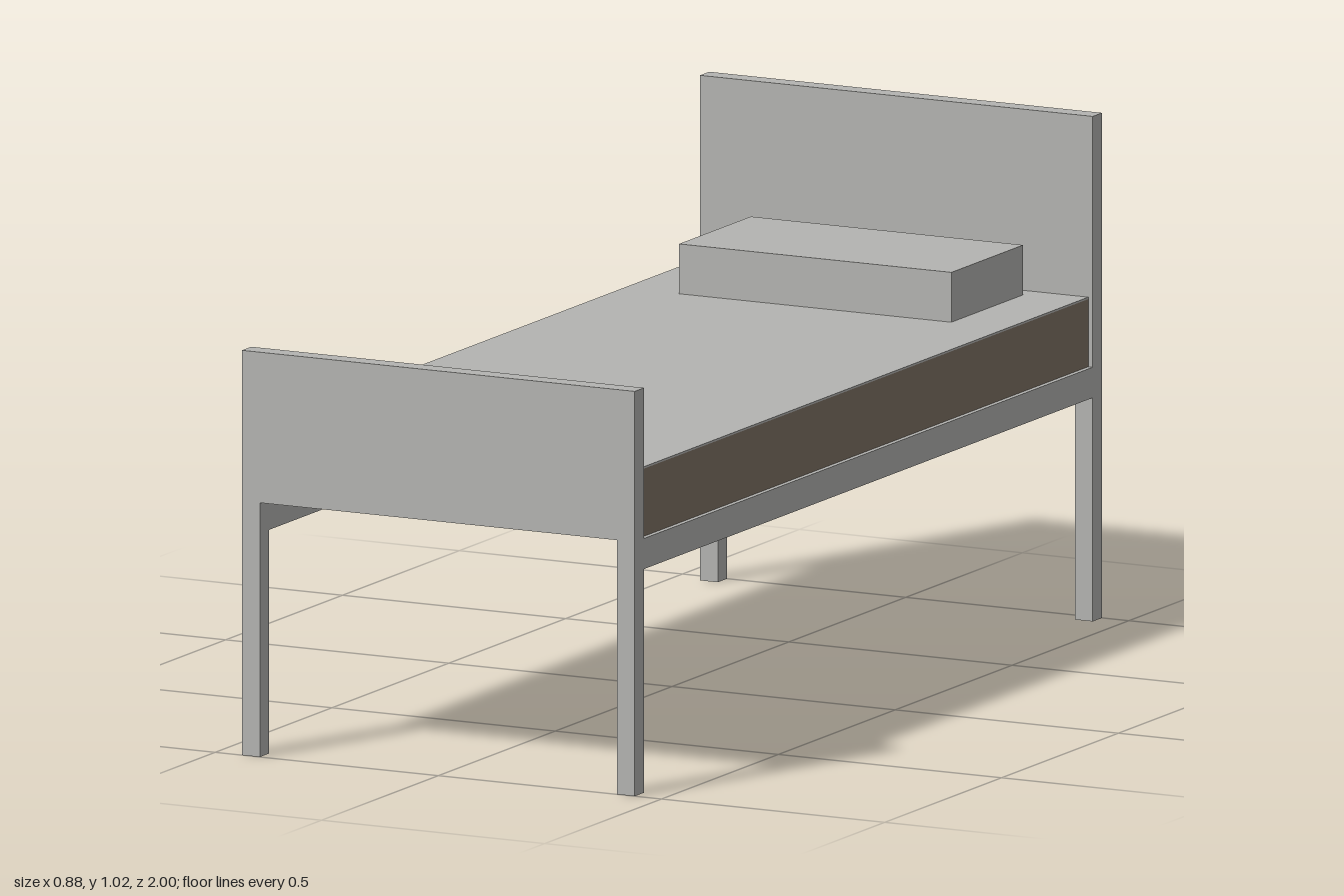
import * as THREE from 'three';

export function createModel() {
  const bed = new THREE.Group();
  bed.name = 'bed';
  const grey = new THREE.MeshStandardMaterial({ name: 'paleGrey', color: 0xb4b4b1 });
  const brown = new THREE.MeshStandardMaterial({ name: 'mattressBrown', color: 0x807466 });

  // Box given by its lower and upper corners
  const box = (name, [x0, y0, z0], [x1, y1, z1], material) => {
    const mesh = new THREE.Mesh(new THREE.BoxGeometry(x1 - x0, y1 - y0, z1 - z0), material);
    mesh.position.set((x0 + x1) / 2, (y0 + y1) / 2, (z0 + z1) / 2);
    mesh.name = name;
    bed.add(mesh);
  };

  const W = 0.44, T = 0.04, base = 0.515;

  // End board and its two legs, cut as one flat outline
  const endFrame = (name, top, z) => {
    const shape = new THREE.Shape([
      [-W, 0], [-W + T, 0], [-W + T, base], [W - T, base],
      [W - T, 0], [W, 0], [W, top], [-W, top],
    ].map(([x, y]) => new THREE.Vector2(x, y)));
    const geometry = new THREE.ExtrudeGeometry(shape, { depth: T, bevelEnabled: false });
    const mesh = new THREE.Mesh(geometry, grey);
    mesh.position.z = z;
    mesh.name = name;
    bed.add(mesh);
  };
  endFrame('headboardFrame', 1.023, -1);
  endFrame('footboardFrame', 0.82, 1 - T);

  // Side rails
  box('leftRail', [W - T, 0.453, -0.96], [W, base, 0.96], grey);
  box('rightRail', [-W, 0.453, -0.96], [-W + T, base, 0.96], grey);

  // Mattress with a thin sheet on top
  box('mattress', [-0.43, base, -0.96], [0.43, 0.652, 0.96], brown);
  box('sheet', [-0.43, 0.652, -0.96], [0.43, 0.656, 0.96], grey);

  // Pillow
  box('pillow', [-0.305, 0.656, -0.92], [0.305, 0.757, -0.613], grey);

  return bed;
}
